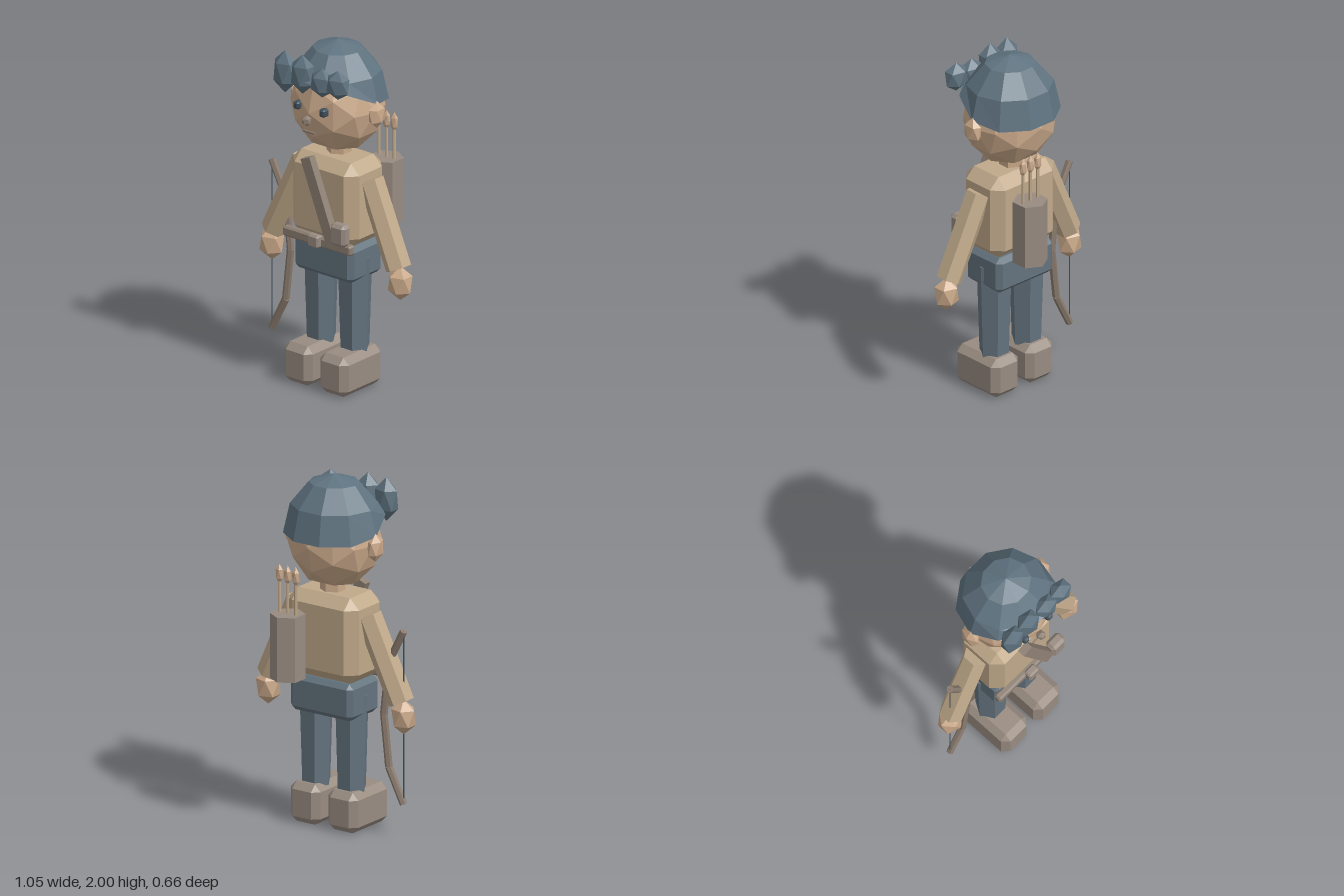
import * as THREE from 'three';
import { ConvexGeometry } from 'three/addons/geometries/ConvexGeometry.js';

const paint = (name, color) => {
  const m = new THREE.MeshStandardMaterial({ color });
  m.name = name;
  return m;
};

export function createModel() {
  const root = new THREE.Group();
  root.name = 'archer';

  const skin = paint('skin', 0xcaa98a);
  const tunic = paint('tunic', 0xc0a98a);
  const hair = paint('hair', 0x5f7380);
  const trousers = paint('trousers', 0x64737e);
  const leather = paint('leather', 0x998c81);
  const strapBrown = paint('strap', 0x8f8175);
  const wood = paint('wood', 0x8a7b6e);
  const dark = paint('eyes', 0x3f4f5b);
  hair.side = THREE.DoubleSide;

  // Every part is faceted: unshare corners, then recompute normals
  function add(name, geo, mat, x = 0, y = 0, z = 0, parent = root) {
    const g = geo.index ? geo.toNonIndexed() : geo;
    g.computeVertexNormals();
    const mesh = new THREE.Mesh(g, mat);
    mesh.name = name;
    mesh.position.set(x, y, z);
    parent.add(mesh);
    return mesh;
  }

  // Box with all edges cut off by c
  function chamferBox(w, h, d, c) {
    const pts = [];
    for (const sx of [-1, 1]) for (const sy of [-1, 1]) for (const sz of [-1, 1]) {
      const [x, y, z] = [w / 2, h / 2, d / 2];
      pts.push(
        new THREE.Vector3(sx * x, sy * (y - c), sz * (z - c)),
        new THREE.Vector3(sx * (x - c), sy * y, sz * (z - c)),
        new THREE.Vector3(sx * (x - c), sy * (y - c), sz * z));
    }
    return new ConvexGeometry(pts);
  }

  // Icosahedron standing on a point, with the given half sizes
  const gem = (rx, ry, rz) => new THREE.IcosahedronGeometry(1, 0)
    .rotateZ(Math.atan(2 / (1 + Math.sqrt(5)))).scale(rx / 0.894, ry, rz / 0.9);

  // Tapered rod between two points
  function rod(name, a, b, ra, rb, sides, mat, parent = root) {
    const p = new THREE.Vector3(...a), q = new THREE.Vector3(...b);
    const dir = q.clone().sub(p);
    const mid = p.clone().add(q).multiplyScalar(0.5);
    const m = add(name, new THREE.CylinderGeometry(rb, ra, dir.length(), sides), mat, mid.x, mid.y, mid.z, parent);
    m.quaternion.setFromUnitVectors(new THREE.Vector3(0, 1, 0), dir.normalize());
    return m;
  }

  // Head and neck
  add('head', new THREE.IcosahedronGeometry(1, 1).scale(0.27, 0.28, 0.247), skin, 0, 1.635, 0.042);
  add('neck', new THREE.CylinderGeometry(0.07, 0.07, 0.12, 6), skin, 0, 1.36, 0.03);

  // Hair cap, its rim lifted towards the forehead
  const cap = new THREE.SphereGeometry(1, 10, 3, 0, Math.PI * 2, 0, Math.PI / 2);
  const cp = cap.attributes.position;
  for (let i = 0; i < cp.count; i++) {
    const z = cp.getZ(i);
    if (cp.getY(i) < 0.01 && z > -0.01) cp.setY(i, 0.08 + 0.4 * z);
  }
  add('hairCap', cap.scale(0.283, 0.34, 0.272), hair, 0, 1.66, 0.042);

  // Fringe tufts: x, y, half height
  for (const [x, y, h] of [[-0.187, 1.83, 0.125], [-0.062, 1.845, 0.115], [0.077, 1.83, 0.085], [0.19, 1.845, 0.085]])
    add('fringeTuft', gem(0.07, h, 0.052), hair, x, y, 0.267);

  // Face
  add('nose', gem(0.025, 0.032, 0.027), strapBrown, 0, 1.6, 0.305);
  add('mouth', new THREE.BoxGeometry(0.085, 0.011, 0.009), strapBrown, 0, 1.526, 0.285);

  // Torso, hips, belt
  add('torso', chamferBox(0.47, 0.49, 0.31, 0.06), tunic, 0, 1.097, 0.045);
  add('hips', chamferBox(0.42, 0.21, 0.275, 0.028), trousers, 0, 0.75, 0.042);
  add('belt', chamferBox(0.485, 0.058, 0.045, 0.01), strapBrown, 0, 0.867, 0.205);
  add('buckle', chamferBox(0.075, 0.072, 0.05, 0.01), leather, 0, 0.875, 0.235);
  add('chestStrap', new THREE.BoxGeometry(0.068, 0.485, 0.046), strapBrown, 0.037, 1.125, 0.235).rotation.z = 0.38;
  add('pouch', chamferBox(0.105, 0.125, 0.07, 0.018), leather, 0.184, 0.96, 0.24);

  // Paired parts
  for (const [side, s] of [['left', 1], ['right', -1]]) {
    add(side + 'Eye', chamferBox(0.042, 0.046, 0.05, 0.01), dark, s * 0.092, 1.66, 0.268);
    add(side + 'Ear', gem(0.035, 0.08, 0.058), skin, s * 0.278, 1.627, 0.042);
    rod(side + 'Arm', [s * 0.444, 0.772, 0.055], [s * 0.233, 1.235, 0.04], 0.073, 0.073, 6, tunic);
    add(side + 'Hand', gem(0.07, 0.1, 0.064), skin, s * 0.457, 0.69, 0.058);
    add(side + 'Leg', new THREE.CylinderGeometry(0.1, 0.083, 0.56, 6).rotateY(Math.PI / 6), trousers, s * 0.12, 0.49, 0.04);
    add(side + 'Boot', chamferBox(0.2, 0.23, 0.342, 0.038), leather, s * 0.127, 0.115, 0.086);
  }

  // Quiver with three arrows
  const quiver = new THREE.Group();
  quiver.name = 'quiver';
  root.add(quiver);
  add('quiverCase', new THREE.CylinderGeometry(0.098, 0.098, 0.37, 6), leather, 0.11, 1.065, -0.236, quiver);
  for (const x of [0.055, 0.11, 0.165]) {
    add('arrowShaft', new THREE.CylinderGeometry(0.009, 0.009, 0.26, 6), tunic, x, 1.31, -0.237, quiver);
    add('arrowTip', gem(0.022, 0.058, 0.018), skin, x, 1.467, -0.237, quiver);
  }

  // Bow held in the right hand
  const bow = new THREE.Group();
  bow.name = 'bow';
  root.add(bow);
  const path = [[-0.457, 0.19, 0.057], [-0.358, 0.385, 0.057], [-0.324, 0.685, 0.057], [-0.358, 0.985, 0.057], [-0.457, 1.18, 0.057]];
  for (let i = 0; i < 4; i++) rod('bowLimb', path[i], path[i + 1], 0.021, 0.021, 6, wood, bow);
  rod('bowString', path[0], path[4], 0.004, 0.004, 5, dark, bow);

  return root;
}
